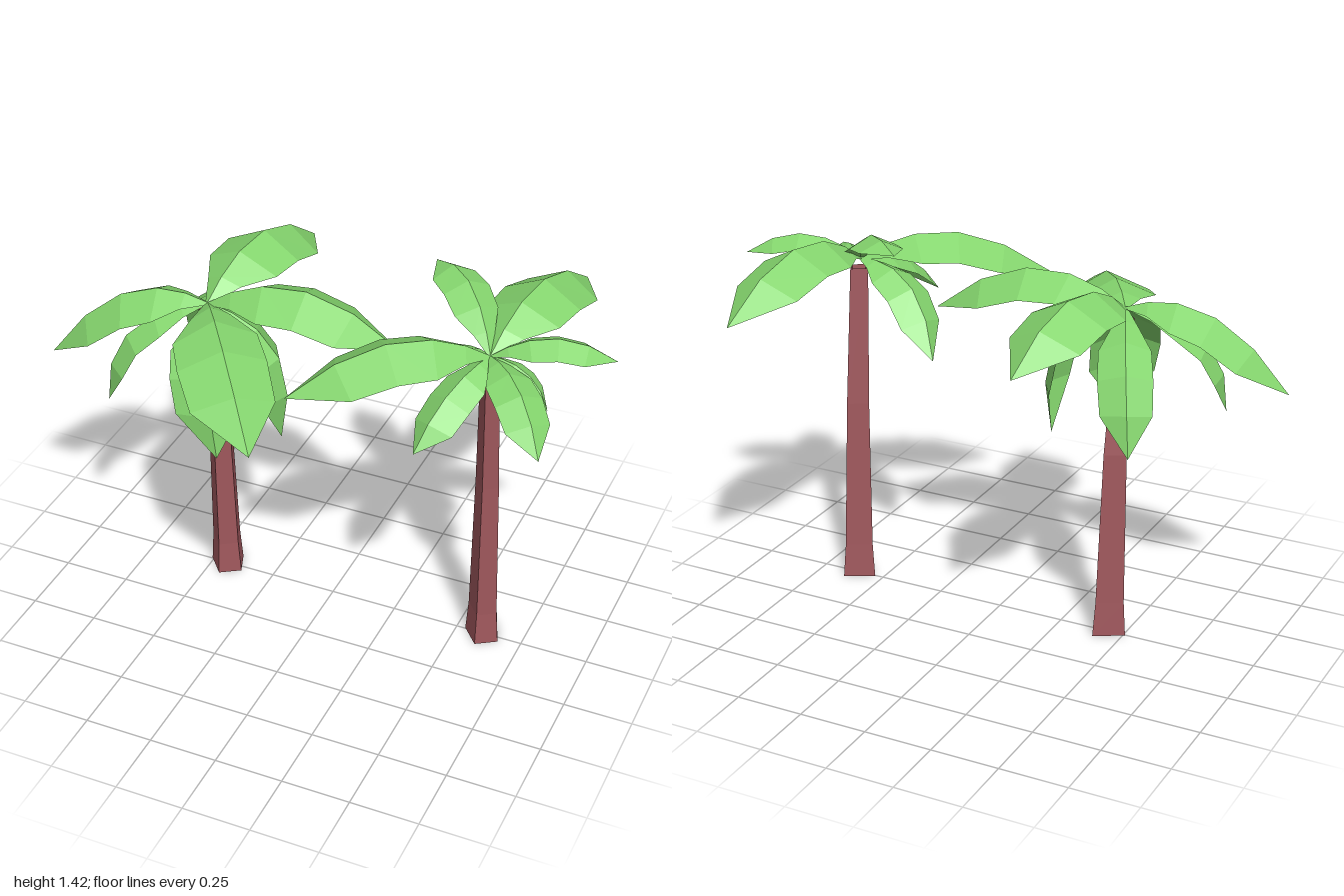
import * as THREE from 'three';

const leafGreen = new THREE.MeshStandardMaterial({ color: 0x85d66e, flatShading: true, side: THREE.DoubleSide });
leafGreen.name = 'leafGreen';
const barkRed = new THREE.MeshStandardMaterial({ color: 0xa0585d, flatShading: true, side: THREE.DoubleSide });
barkRed.name = 'barkRed';

// Position along the leaf and share of its full half width
const LEAF_SECTIONS = [[0, 0.08], [0.13, 0.46], [0.3, 0.95], [0.53, 1], [0.77, 0.94], [1, 0]];

// Folded leaf: a ridge curve through base, middle and tip, with sides sloping down from it
function createLeaf(base, middle, tip, halfWidth) {
  const b = new THREE.Vector3(...base);
  const t = new THREE.Vector3(...tip);
  const control = new THREE.Vector3(...middle).multiplyScalar(2)
    .addScaledVector(b, -0.5).addScaledVector(t, -0.5);
  const ridge = new THREE.QuadraticBezierCurve3(b, control, t);
  const side = t.clone().sub(b).cross(new THREE.Vector3(0, 1, 0)).normalize();

  const rows = LEAF_SECTIONS.map(([u, share]) => {
    const centre = ridge.getPoint(u);
    const normal = side.clone().cross(ridge.getTangent(u));
    const w = halfWidth * share;
    const edge = (sign) => centre.clone().addScaledVector(side, sign * w).addScaledVector(normal, -0.5 * w);
    return [edge(-1), centre, edge(1)];
  });

  const points = [];
  for (let i = 0; i < rows.length - 1; i++) {
    for (let j = 0; j < 2; j++) {
      const a = rows[i][j], c = rows[i][j + 1], d = rows[i + 1][j + 1], e = rows[i + 1][j];
      points.push(a, c, d, a, d, e);
    }
  }
  const geometry = new THREE.BufferGeometry().setFromPoints(points);
  geometry.computeVertexNormals();
  return new THREE.Mesh(geometry, leafGreen);
}

// Corners of the trunk's uneven four-sided section, as [x, z] for a radius of 1
const TRUNK_SECTION = [[-0.06, 1], [0.97, 0.34], [0.52, -0.86], [-0.97, -0.05]];

// Open trunk, flared at the foot and bending forward; rings are [y, radius, z], top first
function createTrunk(x, rings) {
  const sides = TRUNK_SECTION.length;
  const geometry = new THREE.CylinderGeometry(1, 1, 1, sides, rings.length - 1, true);
  const pos = geometry.attributes.position;
  for (let i = 0; i < pos.count; i++) {
    const [y, radius, z] = rings[Math.floor(i / (sides + 1))];
    const [cx, cz] = TRUNK_SECTION[(i % (sides + 1)) % sides];
    pos.setXYZ(i, x + cx * radius, y, z + cz * radius);
  }
  geometry.computeVertexNormals();
  const trunk = new THREE.Mesh(geometry, barkRed);
  trunk.name = 'trunk';
  return trunk;
}

function createPalm(name, trunkX, crown, leaves) {
  const palm = new THREE.Group();
  palm.name = name;
  palm.add(createTrunk(trunkX, [
    [crown[1] - 0.035, 0.038, crown[2] - 0.008],
    [0.7, 0.048, 0.023],
    [0.13, 0.06, 0.003],
    [0, 0.07, 0],
  ]));
  for (const [leafName, middle, tip, halfWidth] of leaves) {
    const leaf = createLeaf(crown, middle, tip, halfWidth);
    leaf.name = leafName;
    palm.add(leaf);
  }
  return palm;
}

export function createModel() {
  const model = new THREE.Group();
  model.name = 'palmTrees';

  // Each leaf: name, ridge middle, tip, half width
  model.add(createPalm('rightPalm', -0.44, [-0.435, 1.22, 0.095], [
    ['backLeaf', [-0.38, 1.345, -0.23], [-0.33, 1.17, -0.58], 0.15],
    ['leftLeaf', [-0.1, 1.325, 0.05], [0.25, 1.14, 0], 0.145],
    ['frontLeaf', [-0.25, 1.24, 0.36], [-0.02, 1.03, 0.64], 0.155],
    ['rightLeaf', [-0.73, 1.22, 0.15], [-1, 0.95, 0.22], 0.135],
    ['hangingFrontLeaf', [-0.35, 1.06, 0.29], [-0.3, 0.745, 0.33], 0.125],
    ['hangingLeftLeaf', [-0.18, 1.06, 0.075], [-0.17, 0.71, 0.07], 0.115],
    ['hangingBackLeaf', [-0.55, 1.09, -0.155], [-0.61, 0.82, -0.26], 0.095],
    ['hangingRightLeaf', [-0.69, 1.1, 0.21], [-0.76, 0.83, 0.26], 0.09],
  ]));

  model.add(createPalm('leftPalm', 0.6, [0.6, 1.25, 0.065], [
    ['backLeaf', [0.66, 1.375, -0.26], [0.71, 1.195, -0.645], 0.145],
    ['frontRightLeaf', [0.32, 1.335, 0.25], [0.025, 1.165, 0.46], 0.145],
    ['raisedBackLeaf', [0.46, 1.405, -0.1], [0.29, 1.39, -0.23], 0.085],
    ['rightLeaf', [0.36, 1.2, 0], [0.21, 0.975, -0.11], 0.09],
    ['leftLeaf', [0.8, 1.33, 0], [1, 1.25, -0.07], 0.08],
    ['frontLeftLeaf', [0.76, 1.24, 0.22], [0.88, 1.09, 0.36], 0.085],
    ['frontLeaf', [0.53, 1.2, 0.27], [0.47, 1.04, 0.42], 0.085],
    ['smallLeaf', [0.74, 1.22, 0.08], [0.82, 1.11, 0.1], 0.06],
  ]));

  return model;
}
